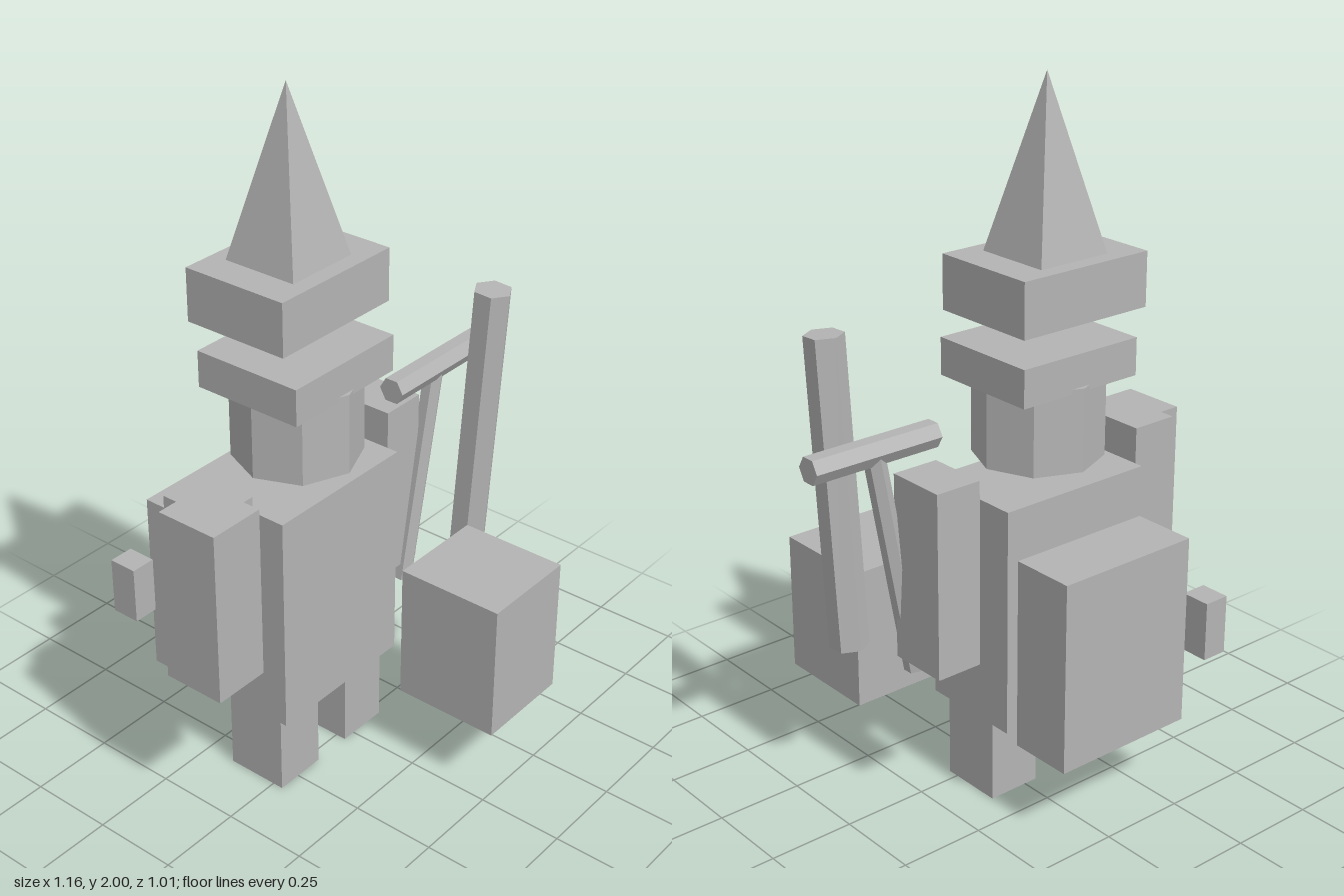
import * as THREE from 'three';

export function createModel() {
  const group = new THREE.Group();
  const grey = new THREE.MeshStandardMaterial({ color: 0xb4b4b4, flatShading: true });
  grey.name = 'plain grey';

  const add = (name, geometry) => {
    const mesh = new THREE.Mesh(geometry, grey);
    mesh.name = name;
    group.add(mesh);
    return mesh;
  };

  // Box given by its limits on each axis
  const box = (name, [x0, x1], [y0, y1], [z0, z1]) =>
    add(name, new THREE.BoxGeometry(x1 - x0, y1 - y0, z1 - z0))
      .position.set((x0 + x1) / 2, (y0 + y1) / 2, (z0 + z1) / 2);

  // Six-sided rod between two points
  const rod = (name, from, to, radius) => {
    const a = new THREE.Vector3(...from), b = new THREE.Vector3(...to);
    const mesh = add(name, new THREE.CylinderGeometry(radius, radius, a.distanceTo(b), 6));
    mesh.position.copy(a).lerp(b, 0.5);
    mesh.quaternion.setFromUnitVectors(new THREE.Vector3(0, 1, 0), b.sub(a).normalize());
  };

  // Body, legs and arms
  box('body', [-0.34, 0.14], [0.255, 0.91], [-0.24, 0.07]);
  for (const [side, x] of [['right', -0.24], ['left', 0.04]])
    box(side + 'Leg', [x - 0.08, x + 0.08], [0, 0.255], [-0.155, 0.032]);
  for (const [side, x] of [['right', -0.45], ['left', 0.25]])
    box(side + 'Arm', [x - 0.07, x + 0.07], [0.455, 0.99], [-0.175, 0.005]);
  box('armShield', [-0.583, -0.413], [0.475, 0.99], [-0.13, 0.058]);

  // Head
  add('head', new THREE.CylinderGeometry(0.18, 0.18, 0.235, 8))
    .position.set(-0.1, 1.083, -0.083);

  // Hat: brim, floating band and four-sided point
  box('hatBrim', [-0.296, 0.096], [1.187, 1.293], [-0.25, 0.085]);
  box('hatBand', [-0.31, 0.11], [1.378, 1.53], [-0.265, 0.057]);
  const point = add('hatPoint', new THREE.ConeGeometry(0.16, 0.47, 4));
  point.position.set(-0.1, 1.765, -0.104);
  point.rotation.y = Math.PI / 4;

  // Backpack and its side pouch
  box('backpack', [-0.32, 0.12], [0.22, 0.773], [-0.447, -0.258]);
  box('pouch', [-0.413, -0.337], [0.424, 0.594], [-0.507, -0.42]);

  // Chest standing in front
  box('chest', [0.02, 0.32], [0.22, 0.63], [0.187, 0.505]);

  // Staff, crossbar and slanted brace
  rod('staff', [0.382, 0.455, 0.139], [0.399, 1.342, 0.186], 0.055);
  rod('crossbar', [0.18, 1.064, 0.015], [0.58, 1.064, 0.015], 0.039);
  rod('brace', [0.265, 0.403, 0], [0.378, 1.06, 0.013], 0.03);

  return group;
}
